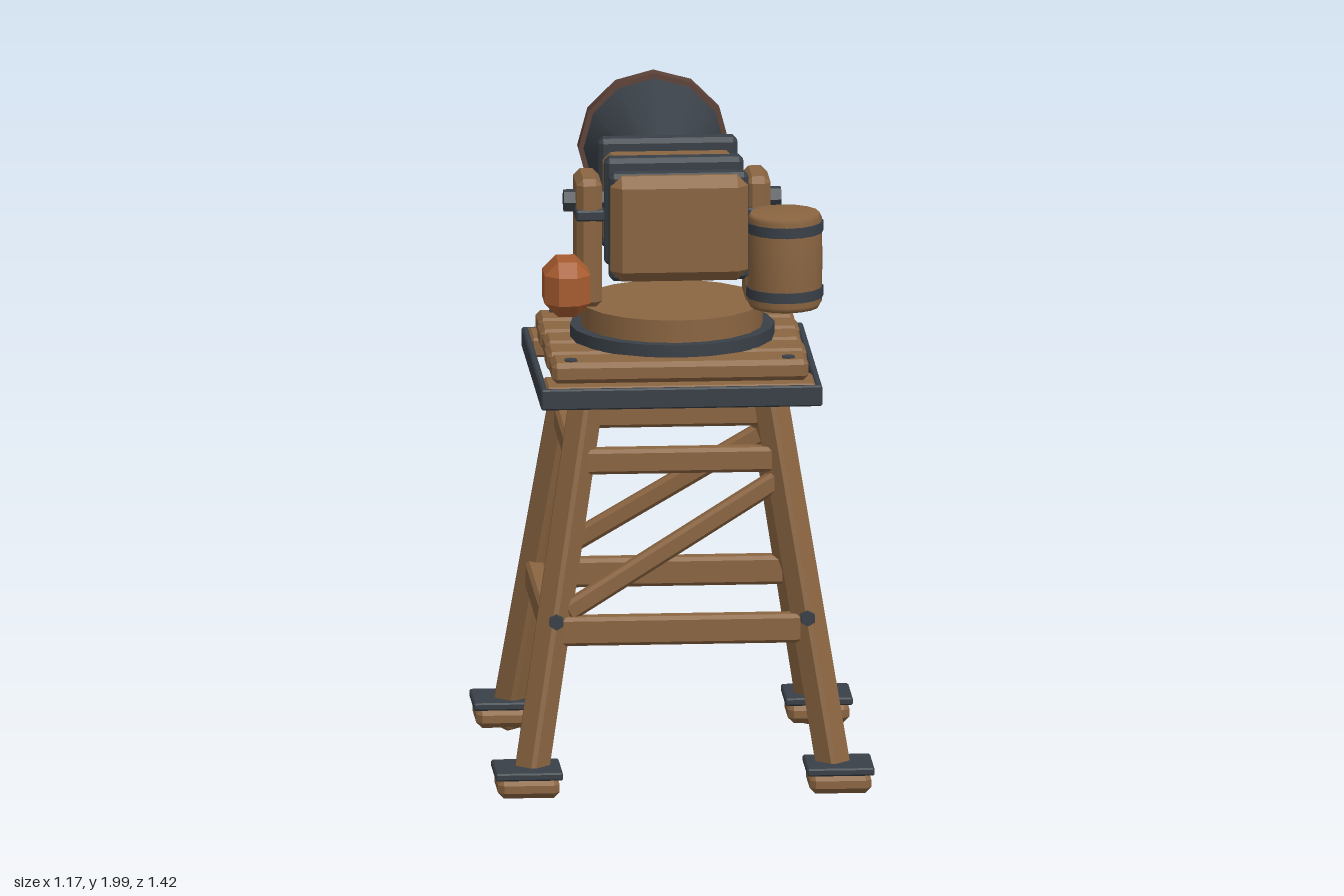
import * as THREE from 'three';
import { ConvexGeometry } from 'three/addons/geometries/ConvexGeometry.js';

const paint = (name, color) => Object.assign(new THREE.MeshStandardMaterial({ color }), { name });

export function createModel() {
  const wood = paint('wood', 0x8b6541);
  const iron = paint('iron', 0x394047);
  const copper = paint('copper', 0xa85c30);
  const rust = paint('rustyRim', 0x5e4339);
  const bore = paint('bore', 0x2a2b2c);

  const model = new THREE.Group();
  model.name = 'cannonTower';
  const group = (name, z = 0) => {
    const g = new THREE.Group();
    g.name = name;
    g.position.z = z;
    model.add(g);
    return g;
  };
  const put = (parent, name, geometry, material, x = 0, y = 0, z = 0) => {
    const mesh = new THREE.Mesh(geometry, material);
    mesh.name = name;
    mesh.position.set(x, y, z);
    parent.add(mesh);
    return mesh;
  };

  // Box with every edge chamfered by b
  const chamferBox = (w, h, d, b) => {
    const points = [];
    for (const sx of [-1, 1]) for (const sy of [-1, 1]) for (const sz of [-1, 1]) {
      const x = w / 2, y = h / 2, z = d / 2;
      points.push(
        new THREE.Vector3(sx * x, sy * (y - b), sz * (z - b)),
        new THREE.Vector3(sx * (x - b), sy * y, sz * (z - b)),
        new THREE.Vector3(sx * (x - b), sy * (y - b), sz * z));
    }
    return new ConvexGeometry(points);
  };
  // Box given by its limits on each axis
  const block = (parent, name, material, [x0, x1], [y0, y1], [z0, z1], b) =>
    put(parent, name, chamferBox(x1 - x0, y1 - y0, z1 - z0, b), material,
      (x0 + x1) / 2, (y0 + y1) / 2, (z0 + z1) / 2);
  // Square timber between two points of the parent's space
  const up = new THREE.Vector3(0, 1, 0);
  const beam = (parent, name, a, b, w, h) => {
    const from = new THREE.Vector3(...a), to = new THREE.Vector3(...b);
    const mid = from.clone().add(to).multiplyScalar(0.5);
    const mesh = put(parent, name, chamferBox(w, h, from.distanceTo(to), 0.011), wood, mid.x, mid.y, mid.z);
    mesh.quaternion.setFromRotationMatrix(new THREE.Matrix4().lookAt(to, from, up));
  };
  // Round part lying along z, from z0 to the more negative z1
  const barrelPart = (parent, name, material, z0, z1, r0, r1, y, sides = 12) =>
    put(parent, name, new THREE.CylinderGeometry(r1, r0, z0 - z1, sides).rotateX(-Math.PI / 2),
      material, 0, y, (z0 + z1) / 2);
  const bolt = (parent, name, r, length, axis, x, y, z) => {
    const g = new THREE.CylinderGeometry(r, r, length, 6).toNonIndexed();
    g.computeVertexNormals();
    if (axis === 'x') g.rotateZ(Math.PI / 2);
    if (axis === 'z') g.rotateX(Math.PI / 2);
    put(parent, name, g, iron, x, y, z);
  };

  // Splayed legs with feet
  const tower = group('tower', 0.127);
  const spread = (y) => 0.48 - 0.16 * y;
  for (const sx of [-1, 1]) for (const sz of [-1, 1]) {
    const at = (y) => [sx * spread(y), y, sz * spread(y)];
    beam(tower, 'leg', at(0.022), at(1.27), 0.085, 0.085);
    put(tower, 'foot', chamferBox(0.19, 0.06, 0.19, 0.018), wood, sx * 0.48, 0.062, sz * 0.48);
    put(tower, 'footPlate', chamferBox(0.208, 0.024, 0.208, 0.005), iron, sx * 0.48, 0.103, sz * 0.48);
    bolt(tower, 'legBolt', 0.024, 0.075, 'z', sx * 0.387, 0.56, sz * 0.42);
  }

  // Horizontal rails on all sides, diagonal braces front and back
  for (const s of [-1, 1]) {
    for (const [y, h] of [[1.037, 0.078], [0.522, 0.09]]) {
      const e = spread(y), l = e - 0.02;
      beam(tower, 'crossRail', [-l, y, s * e], [l, y, s * e], 0.06, h);
      beam(tower, 'sideRail', [s * e, y, -l], [s * e, y, l], 0.06, h);
    }
    beam(tower, 'diagonalBrace', [-0.355, 0.575, s * 0.385], [0.305, 0.975, s * 0.325], 0.05, 0.062);
  }

  // Platform: iron frame, bearers, planks and bolts
  for (const s of [-1, 1]) {
    put(tower, 'frameBar', chamferBox(0.866, 0.065, 0.02, 0.005), iron, 0, 1.257, s * 0.423);
    put(tower, 'frameBar', chamferBox(0.02, 0.065, 0.866, 0.005), iron, s * 0.423, 1.257, 0);
    put(tower, 'bearer', chamferBox(0.83, 0.06, 0.16, 0.008), wood, 0, 1.262, s * 0.336);
    for (const sx of [-1, 1]) bolt(tower, 'plankBolt', 0.022, 0.03, 'y', sx * 0.335, 1.348, s * 0.335);
  }
  for (let i = -2; i <= 2; i++) {
    put(tower, 'plank', chamferBox(i % 2 ? 0.8 : 0.79, 0.065, 0.14, 0.015), wood, 0, 1.326, i * 0.153 + 0.003);
  }

  // Turntable
  put(tower, 'turntableRing', new THREE.CylinderGeometry(0.315, 0.315, 0.04, 20), iron, 0, 1.377, 0.003);
  put(tower, 'turntable', new THREE.CylinderGeometry(0.28, 0.28, 0.075, 20), wood, 0, 1.43, 0.003);

  // Cheeks carrying the gun
  const mount = group('mount');
  for (const s of [-1, 1]) {
    put(mount, 'cheek', chamferBox(0.078, 0.405, 0.19, 0.02), wood, s * 0.26, 1.667, 0.122);
    put(mount, 'cheekStrap', chamferBox(0.09, 0.035, 0.2, 0.006), iron, s * 0.258, 1.757, 0.122);
    bolt(mount, 'pivot', 0.036, 0.13, 'x', s * 0.27, 1.787, 0.13);
  }

  // Gun body with straps and end cap
  const gun = group('gun');
  block(gun, 'body', wood, [-0.203, 0.203], [1.612, 1.9], [-0.137, 0.44], 0.025);
  for (const z of [-0.067, 0.2, 0.412]) {
    block(gun, 'strap', iron, [-0.214, 0.214], [1.6, 1.938], [z - 0.033, z + 0.033], 0.014);
  }
  block(gun, 'endCap', wood, [-0.212, 0.212], [1.602, 1.934], [0.385, 0.482], 0.034);

  // Barrel and flared muzzle
  const axis = 1.767;
  barrelPart(gun, 'barrel', iron, -0.1, -0.44, 0.102, 0.102, axis);
  barrelPart(gun, 'collar', iron, -0.225, -0.278, 0.125, 0.125, axis);
  barrelPart(gun, 'flare', iron, -0.39, -0.66, 0.1, 0.22, axis);
  barrelPart(gun, 'muzzleRim', rust, -0.655, -0.706, 0.234, 0.234, axis);
  barrelPart(gun, 'muzzleBore', bore, -0.705, -0.714, 0.178, 0.178, axis);

  // Side keg with bands
  const keg = group('keg');
  const profile = [[0, 0], [0.106, 0], [0.114, 0.015], [0.116, 0.15], [0.114, 0.28], [0.106, 0.295], [0, 0.295]]
    .map(([r, y]) => new THREE.Vector2(r, y));
  put(keg, 'kegBody', new THREE.LatheGeometry(profile, 16), wood, 0.335, 1.485, 0.305);
  for (const y of [1.533, 1.738]) {
    put(keg, 'kegBand', new THREE.CylinderGeometry(0.119, 0.119, 0.032, 16), iron, 0.335, y, 0.305);
  }

  // Copper counterweight on the other side
  block(mount, 'counterweight', copper, [-0.408, -0.267], [1.47, 1.642], [0.195, 0.39], 0.042);

  return model;
}
